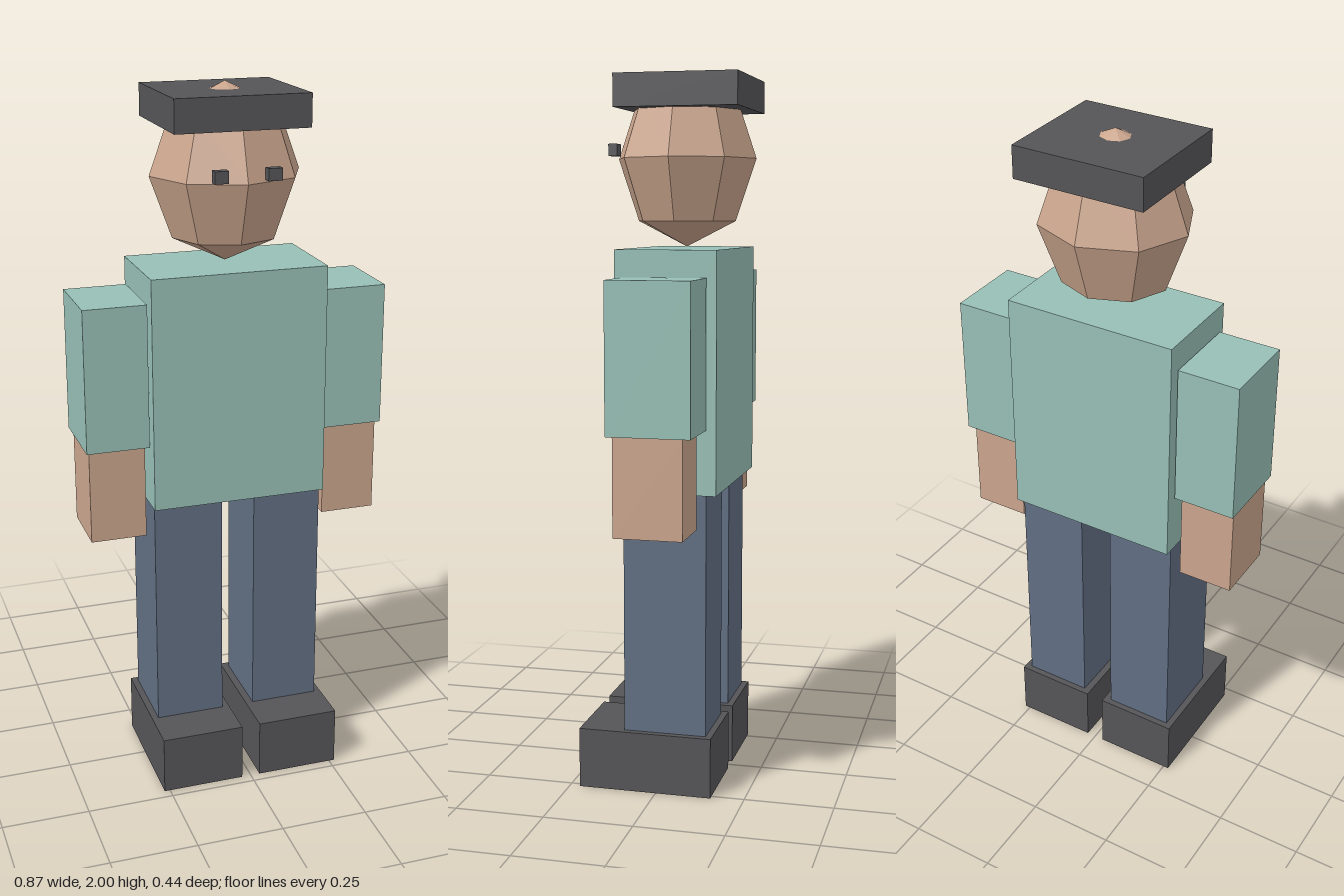
import * as THREE from 'three';

const material = (name, color) => {
  const m = new THREE.MeshStandardMaterial({ color });
  m.name = name;
  return m;
};

export function createModel() {
  const skin = material('skin', 0xcaa58d);
  const shirt = material('shirt teal', 0x97bfb5);
  const denim = material('trouser blue', 0x616e82);
  const dark = material('dark grey', 0x555457);

  const model = new THREE.Group();
  model.name = 'blockFigure';

  // Box given by its extents along each axis
  const box = (name, mat, [x0, x1], [y0, y1], [z0, z1]) => {
    const mesh = new THREE.Mesh(new THREE.BoxGeometry(x1 - x0, y1 - y0, z1 - z0), mat);
    mesh.position.set((x0 + x1) / 2, (y0 + y1) / 2, (z0 + z1) / 2);
    mesh.name = name;
    model.add(mesh);
  };

  // Same box on both sides of the body
  const pair = (name, mat, [x0, x1], y, z) => {
    box('left' + name, mat, [x0, x1], y, z);
    box('right' + name, mat, [-x1, -x0], y, z);
  };

  // Legs and feet
  pair('Shoe', dark, [0.027, 0.266], [0, 0.17], [-0.157, 0.221]);
  pair('Leg', denim, [0.048, 0.247], [0.17, 0.85], [-0.139, 0.094]);

  // Body and arms
  box('torso', shirt, [-0.251, 0.251], [0.848, 1.51], [-0.167, 0.116]);
  pair('Sleeve', shirt, [0.256, 0.434], [1.028, 1.436], [-0.14, 0.09]);
  pair('Hand', skin, [0.266, 0.425], [0.757, 1.028], [-0.117, 0.073]);

  // Faceted head, its crown just piercing the cap
  const headGeometry = new THREE.SphereGeometry(1, 8, 4)
    .scale(0.214, 0.243, 0.198)
    .toNonIndexed();
  headGeometry.computeVertexNormals();
  const head = new THREE.Mesh(headGeometry, skin);
  head.position.set(0, 1.757, -0.025);
  head.name = 'head';
  model.add(head);

  // Eyes and flat cap
  pair('Eye', dark, [0.054, 0.093], [1.764, 1.797], [0.152, 0.177]);
  box('cap', dark, [-0.188, 0.188], [1.89, 1.98], [-0.208, 0.136]);

  return model;
}
